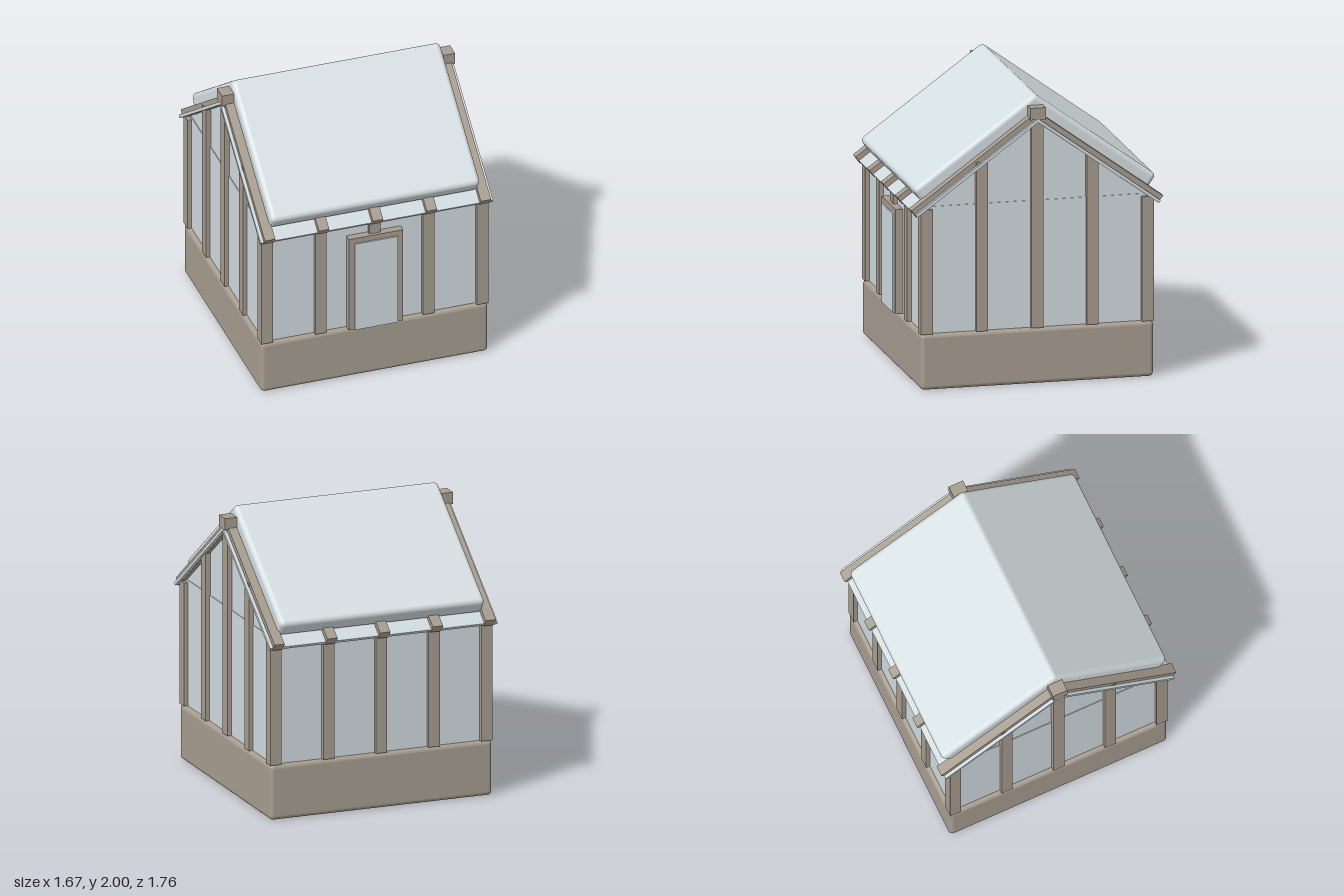
import * as THREE from 'three';
import { RoundedBoxGeometry } from 'three/addons/geometries/RoundedBoxGeometry.js';

const ANGLE = THREE.MathUtils.degToRad(36); // roof pitch
const APEX = 1.832;                         // underside of the roof at the ridge
const BASE_TOP = 0.39;
const POST = 0.082;
const OUTER = 0.815;                        // outer face of posts and base
const GLASS = 0.785;                        // outer face of the wall glass

export function createModel() {
  const model = new THREE.Group();
  model.name = 'greenhouse';

  const wood = new THREE.MeshStandardMaterial({ color: 0xa79d90 });
  wood.name = 'weathered wood';
  const glass = new THREE.MeshStandardMaterial({ color: 0xd1dbdf });
  glass.name = 'pale glass';
  const snow = new THREE.MeshStandardMaterial({ color: 0xd6dfe2 });
  snow.name = 'snow';

  const add = (parent, name, geometry, material) => {
    const mesh = new THREE.Mesh(geometry, material);
    mesh.name = name;
    parent.add(mesh);
    return mesh;
  };
  // Box given by its lower and upper limits on each axis
  const box = (parent, name, material, x0, x1, y0, y1, z0, z1) => {
    const mesh = add(parent, name, new THREE.BoxGeometry(x1 - x0, y1 - y0, z1 - z0), material);
    mesh.position.set((x0 + x1) / 2, (y0 + y1) / 2, (z0 + z1) / 2);
    return mesh;
  };
  const post = (name, x, z, bottom, top) =>
    box(model, name, wood, x - POST / 2, x + POST / 2, bottom, top, z - POST / 2, z + POST / 2);

  // Plinth
  add(model, 'base', new RoundedBoxGeometry(OUTER * 2, BASE_TOP, OUTER * 2, 4, 0.03), wood)
    .position.y = BASE_TOP / 2;

  // Glazed walls and the gable glass above them
  box(model, 'wallGlass', glass, -GLASS, GLASS, BASE_TOP - 0.01, 1.278, -GLASS, GLASS);
  const gable = new THREE.Shape([
    new THREE.Vector2(-0.775, 1.27),
    new THREE.Vector2(0.775, 1.27),
    new THREE.Vector2(0, APEX + 0.005),
  ]);
  const gableGeometry = new THREE.ExtrudeGeometry(gable, { depth: 1.56, bevelEnabled: false });
  gableGeometry.translate(0, 0, -0.78).rotateY(Math.PI / 2);
  add(model, 'gableGlass', gableGeometry, glass);

  // Posts: corners, long walls and gable ends
  const edge = OUTER - POST / 2;
  for (const side of [-1, 1]) {
    for (const end of [-1, 1]) {
      post('cornerPost', side * edge, end * edge, BASE_TOP, 1.262);
      post('wallPost', side * 0.387, end * edge, BASE_TOP, 1.262);
      post('gablePost', side * edge, end * 0.387, BASE_TOP, 1.575);
    }
    post('gableCentrePost', side * edge, 0, BASE_TOP, 1.86);
  }
  post('backCentrePost', 0, -edge, BASE_TOP, 1.262);
  post('overDoorPost', 0, edge, 1.1, 1.262);

  // Door frame and pane
  for (const side of [-1, 1]) {
    box(model, 'doorJamb', wood, side * 0.175 - 0.02, side * 0.175 + 0.02, BASE_TOP, 1.08, 0.775, 0.838);
  }
  box(model, 'doorLintel', wood, -0.195, 0.195, 1.08, 1.12, 0.775, 0.838);
  box(model, 'doorPane', glass, -0.155, 0.155, BASE_TOP, 1.08, 0.775, 0.848);

  // Ridge beam
  box(model, 'ridgeBeam', wood, -0.837, 0.837, 1.852, 1.935, -0.054, 0.054);

  // Two roof slopes: local z runs down the slope, local y points out of it
  for (const turn of [0, Math.PI]) {
    const half = new THREE.Group();
    half.name = turn ? 'backRoof' : 'frontRoof';
    half.rotation.y = turn;
    const slope = new THREE.Group();
    slope.name = 'slope';
    slope.position.y = APEX;
    slope.rotation.x = ANGLE;
    half.add(slope);
    model.add(half);

    box(slope, 'roofGlass', glass, -0.835, 0.835, 0, 0.022, -0.012, 1.045);
    for (const x of [-0.775, -0.387, 0, 0.387, 0.775]) {
      box(slope, 'rafter', wood, x - 0.037, x + 0.037, -0.002, 0.057, 0, 1.048);
    }
    add(slope, 'snowLayer', new RoundedBoxGeometry(1.5, 0.128, 1.065, 5, 0.035), snow)
      .position.set(0, 0.08, 0.4185);
  }
  return model;
}
